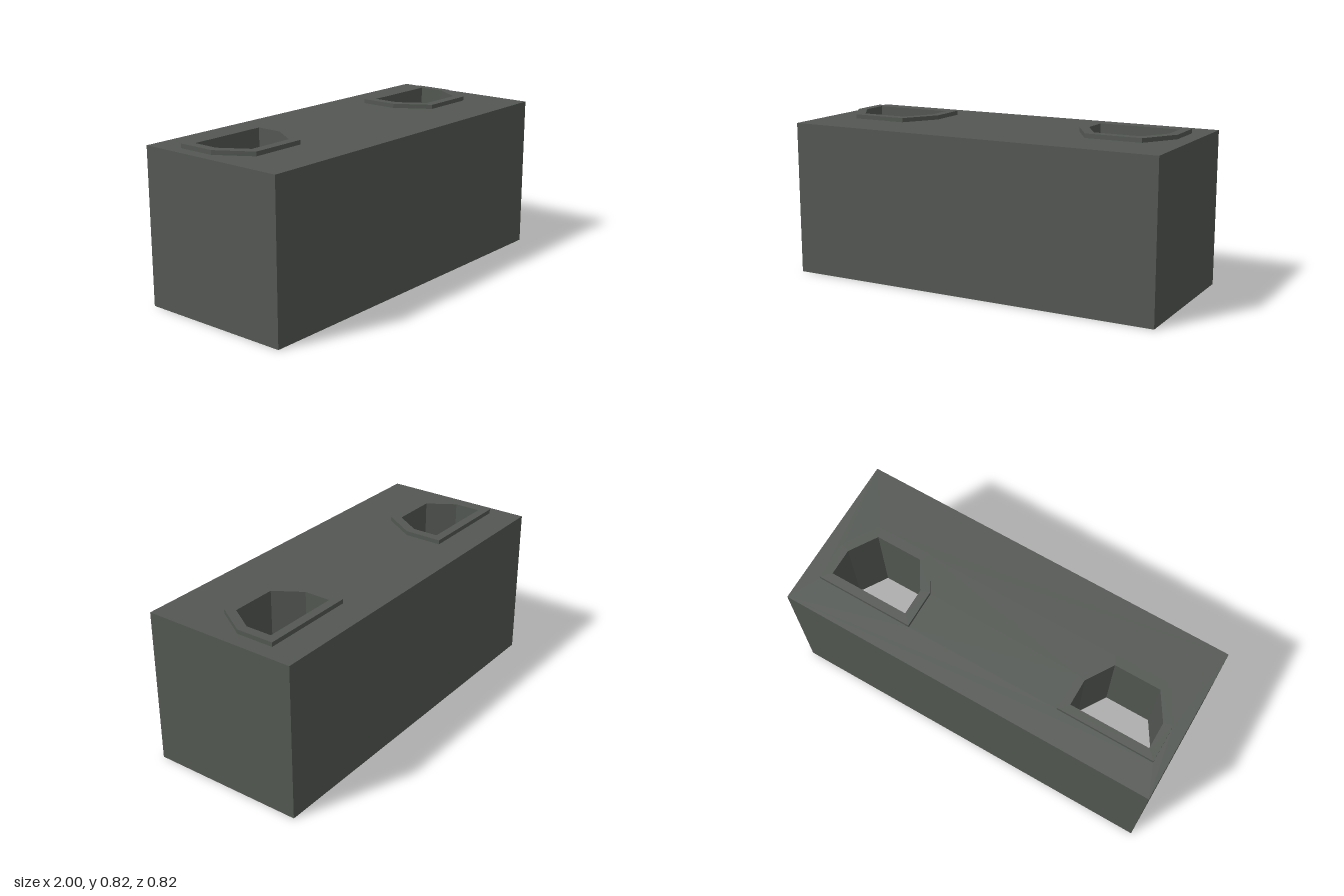
import * as THREE from 'three';

const HALF_X = 1, HALF_Z = 0.41, TOP = 0.8, RIM_TOP = 0.822, TUBE_BOTTOM = 0.32;
const SOCKET_X = [-0.678, 0.659];

// Plan outlines are [x, -z] points, anticlockwise seen from above.
const boxLoop = [[-HALF_X, -HALF_Z], [HALF_X, -HALF_Z], [HALF_X, HALF_Z], [-HALF_X, HALF_Z]];

// Rectangle with chamfered front corners
function socketLoop(cx, half, frontHalf, back, bend, front) {
  return [[-frontHalf, -front], [frontHalf, -front], [half, -bend],
    [half, -back], [-half, -back], [-half, -bend]].map(([x, y]) => [x + cx, y]);
}
const outerLoop = (cx) => socketLoop(cx, 0.257, 0.147, -0.246, -0.046, 0.13);
const innerLoop = (cx) => socketLoop(cx, 0.21, 0.122, -0.2, -0.061, 0.079);

const toVectors = (loop) => loop.map(([x, y]) => new THREE.Vector2(x, y));

// Flat horizontal sheet with openings
function sheet(loop, holes, y) {
  const shape = new THREE.Shape(toVectors(loop));
  holes.forEach((h) => shape.holes.push(new THREE.Path(toVectors(h))));
  return new THREE.ShapeGeometry(shape).rotateX(-Math.PI / 2).translate(0, y, 0);
}

// Vertical band of flat walls following a loop
function band(loop, low, high) {
  const pos = [];
  loop.forEach(([ax, ay], i) => {
    const [bx, by] = loop[(i + 1) % loop.length];
    pos.push(ax, low, -ay, bx, low, -by, bx, high, -by);
    pos.push(ax, low, -ay, bx, high, -by, ax, high, -ay);
  });
  const geo = new THREE.BufferGeometry();
  geo.setAttribute('position', new THREE.Float32BufferAttribute(pos, 3));
  geo.computeVertexNormals();
  return geo;
}

export function createModel() {
  const grey = new THREE.MeshStandardMaterial({ color: 0x535752, side: THREE.DoubleSide });
  grey.name = 'darkGrey';
  const model = new THREE.Group();
  model.name = 'socketBlock';
  const add = (parent, name, geo) => {
    const mesh = new THREE.Mesh(geo, grey);
    mesh.name = name;
    parent.add(mesh);
  };

  // Hollow body, open underneath
  add(model, 'bodyWalls', band(boxLoop, 0, TOP));
  add(model, 'bodyTop', sheet(boxLoop, SOCKET_X.map(outerLoop), TOP));

  // Two sockets: raised rim and a tube open at both ends
  SOCKET_X.forEach((cx, i) => {
    const socket = new THREE.Group();
    socket.name = i === 0 ? 'rightSocket' : 'leftSocket';
    const outer = outerLoop(cx), inner = innerLoop(cx);
    add(socket, 'rimSide', band(outer, TOP, RIM_TOP));
    add(socket, 'rimTop', sheet(outer, [inner], RIM_TOP));
    add(socket, 'socketTube', band([...inner].reverse(), TUBE_BOTTOM, RIM_TOP));
    model.add(socket);
  });
  return model;
}
